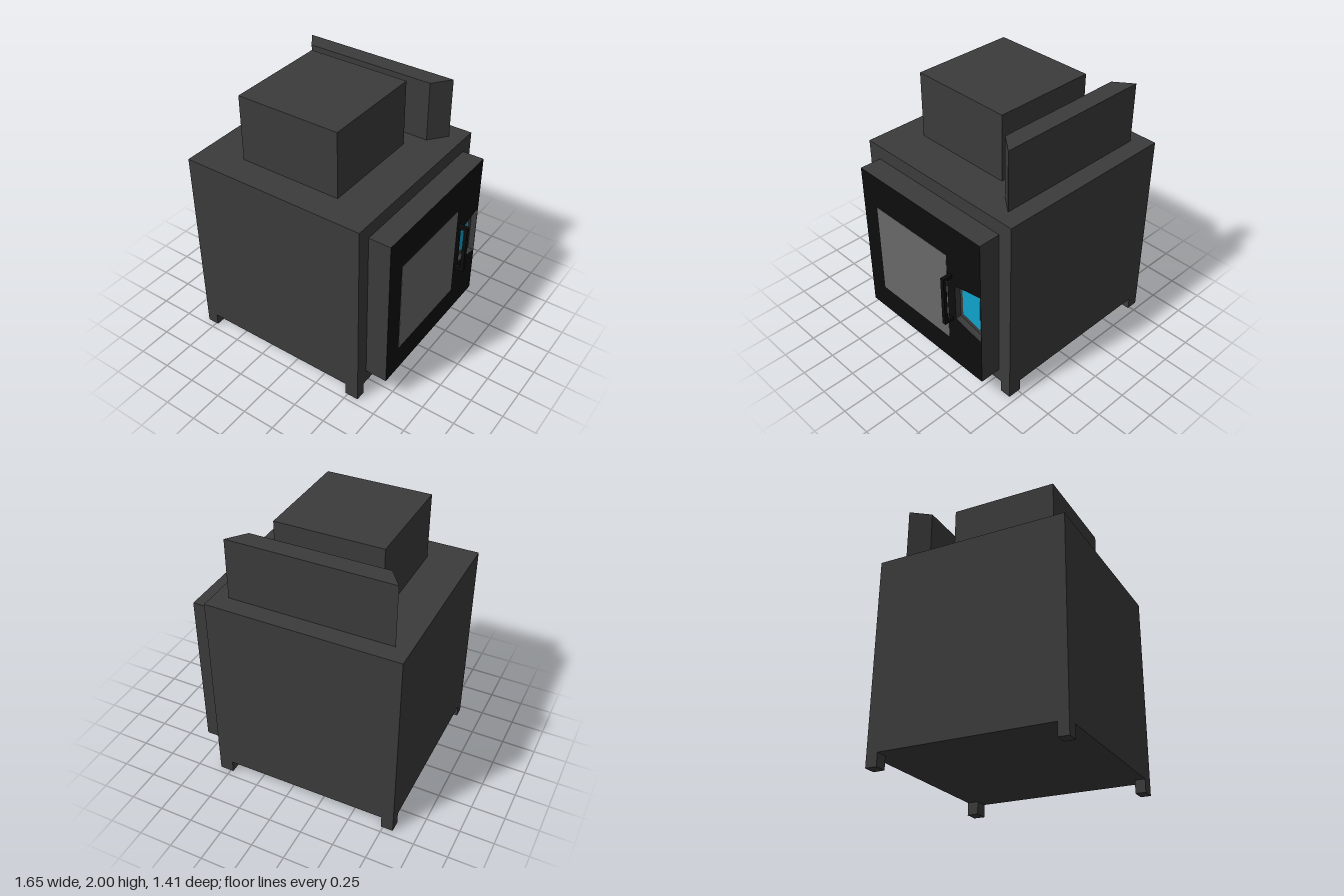
import * as THREE from 'three';

const material = (name, color) => {
  const m = new THREE.MeshStandardMaterial({ color });
  m.name = name;
  return m;
};

// Flat polygon from [x, y] pairs
const outline = (points, Type = THREE.Shape) => new Type(points.map(([x, y]) => new THREE.Vector2(x, y)));

export function createModel() {
  const model = new THREE.Group();
  model.name = 'furnace';
  const iron = material('dark iron', 0x3b3b3b);
  const black = material('black enamel', 0x0d0d0d);
  const glass = material('grey glass', 0x696969);
  const cyan = material('cyan display', 0x0fa3cc);

  const add = (name, geometry, mat) => {
    const mesh = new THREE.Mesh(geometry, mat);
    mesh.name = name;
    model.add(mesh);
    return mesh;
  };
  // Box given by its lower and upper limits on each axis
  const box = (name, [x0, x1], [y0, y1], [z0, z1], mat) =>
    add(name, new THREE.BoxGeometry(x1 - x0, y1 - y0, z1 - z0), mat)
      .position.set((x0 + x1) / 2, (y0 + y1) / 2, (z0 + z1) / 2);
  // Profile in (-z, y), extruded towards +x from the given x
  const sidePlate = (name, shape, x, depth, mat) => {
    const mesh = add(name, new THREE.ExtrudeGeometry(shape, { depth, bevelEnabled: false }), mat);
    mesh.rotation.y = Math.PI / 2;
    mesh.position.x = x;
  };

  // Cabinet on four corner feet
  box('cabinet', [-0.825, 0.585], [0.095, 1.505], [-0.705, 0.705], iron);
  for (const x of [[-0.825, -0.735], [0.48, 0.585]])
    for (const z of [[-0.705, -0.62], [0.63, 0.705]]) box('foot', x, [0, 0.095], z, iron);

  // Square chimney box and the tapered panel behind it
  box('chimney', [-0.515, 0.27], [1.505, 2], [-0.3, 0.49], iron);
  const panel = add('backPanel', new THREE.ExtrudeGeometry(
    outline([[-0.72, 0.57], [-0.62, 0.435], [0.375, 0.435], [0.48, 0.57]]),
    { depth: 0.45, bevelEnabled: false }), iron);
  panel.rotation.x = -Math.PI / 2;
  panel.position.y = 1.505;

  // Door: iron core with a black face, cut out around the display
  box('doorCore', [0.585, 0.705], [0.2, 1.4], [-0.6, 0.6], iron);
  const face = outline([[-0.6, 0.2], [0.6, 0.2], [0.6, 1.4], [-0.6, 1.4]]);
  face.holes.push(outline([[0.35, 0.627], [0.35, 0.92], [0.598, 0.972], [0.598, 0.575]], THREE.Path));
  sidePlate('doorFace', face, 0.705, 0.045, [black, iron]);
  sidePlate('display', outline([[0.378, 0.662], [0.547, 0.625], [0.547, 0.922], [0.378, 0.885]]), 0.704, 0.004, cyan);
  box('window', [0.748, 0.752], [0.405, 1.14], [-0.275, 0.45], glass);

  // Handle: two stubs and an upright grip
  const handleZ = [-0.325, -0.295];
  box('handleGrip', [0.8, 0.825], [0.6, 1], handleZ, black);
  for (const y of [[0.6, 0.625], [0.975, 1]]) box('handleStub', [0.75, 0.8], y, handleZ, black);

  return model;
}
